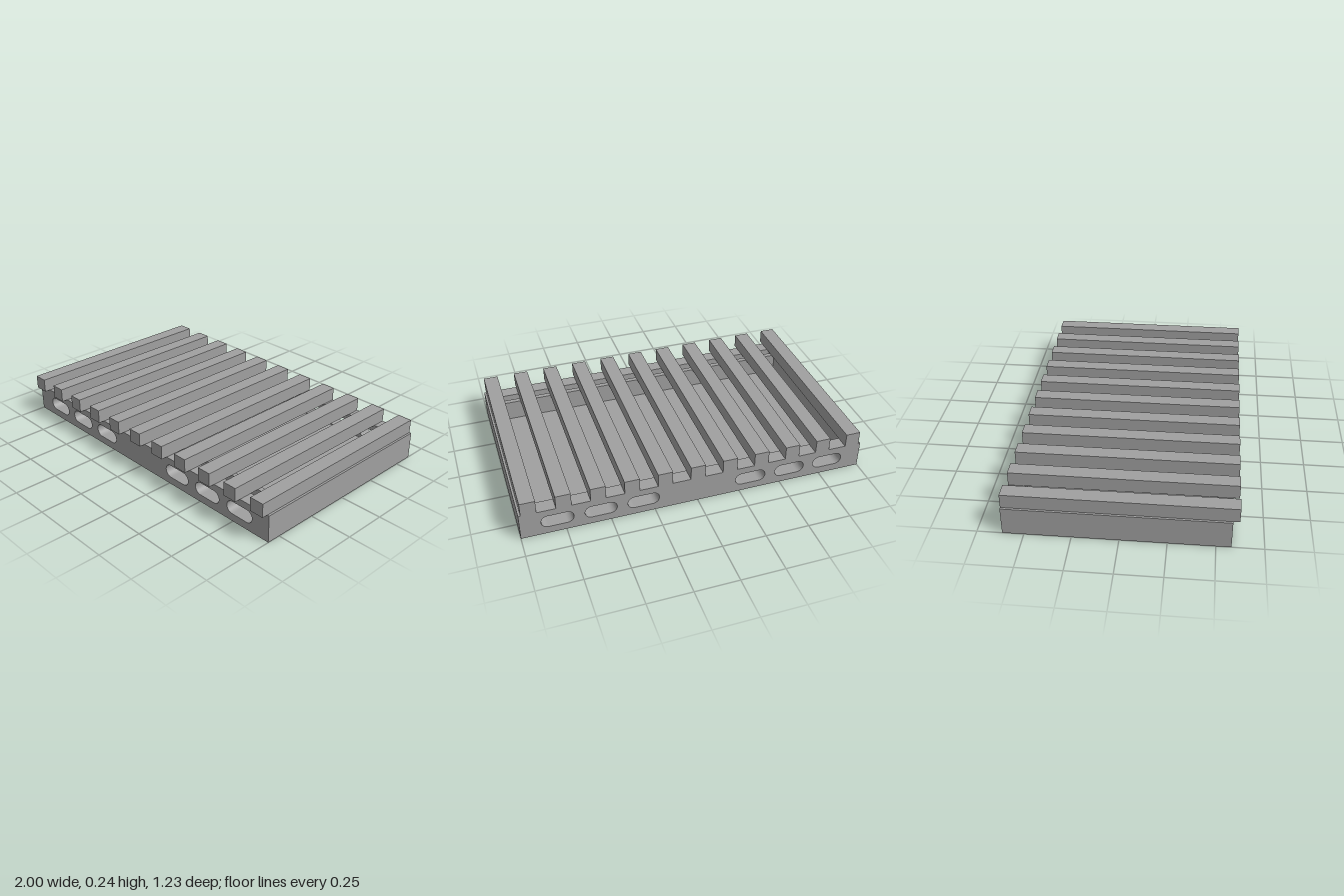
import * as THREE from 'three';

const grey = new THREE.MeshStandardMaterial({ color: 0xa0a0a0 });
grey.name = 'plain grey';

const H = 0.16, BACK = -0.615, FRONT = 0.58, WALL = 0.08;

function box(name, x0, x1, y0, y1, z0, z1) {
  const mesh = new THREE.Mesh(new THREE.BoxGeometry(x1 - x0, y1 - y0, z1 - z0), grey);
  mesh.position.set((x0 + x1) / 2, (y0 + y1) / 2, (z0 + z1) / 2);
  mesh.name = name;
  return mesh;
}

// Rounded vent slot outline
function slot(cx, cy, length, height) {
  const r = height / 2, s = length / 2 - r;
  const path = new THREE.Path();
  path.absarc(cx + s, cy, r, -Math.PI / 2, Math.PI / 2);
  path.absarc(cx - s, cy, r, Math.PI / 2, Math.PI * 1.5);
  path.closePath();
  return path;
}

// Full-width wall with three vent slots on each side
function ventWall(name, z) {
  const shape = new THREE.Shape();
  shape.moveTo(-1, 0).lineTo(1, 0).lineTo(1, H).lineTo(-1, H).closePath();
  for (const side of [-1, 1])
    for (const x of [0.315, 0.555, 0.795]) shape.holes.push(slot(side * x, 0.082, 0.18, 0.075));
  const geo = new THREE.ExtrudeGeometry(shape, { depth: WALL, bevelEnabled: false, curveSegments: 10 });
  const mesh = new THREE.Mesh(geo, grey);
  mesh.position.z = z;
  mesh.name = name;
  return mesh;
}

export function createModel() {
  const group = new THREE.Group();
  group.name = 'slattedTray';

  // Frame
  group.add(ventWall('frontWall', FRONT - WALL), ventWall('backWall', BACK));
  group.add(box('rightWall', -1, -1 + WALL, 0, H, BACK + WALL, FRONT - WALL));
  group.add(box('leftWall', 1 - WALL, 1, 0, H, BACK + WALL, FRONT - WALL));

  // Recessed floor and the baffle behind the front vents
  group.add(box('floorPanel', -0.92, 0.92, 0.02, 0.04, BACK + WALL, FRONT - WALL));
  group.add(box('baffle', -0.92, 0.92, 0.04, H, 0.42, 0.45));

  // Slats, flush at the back and overhanging the front
  for (let i = 0; i < 11; i++) {
    const x = (i - 5) * 0.189;
    group.add(box('slat', x - 0.0425, x + 0.0425, H, 0.24, BACK, 0.615));
  }
  return group;
}
